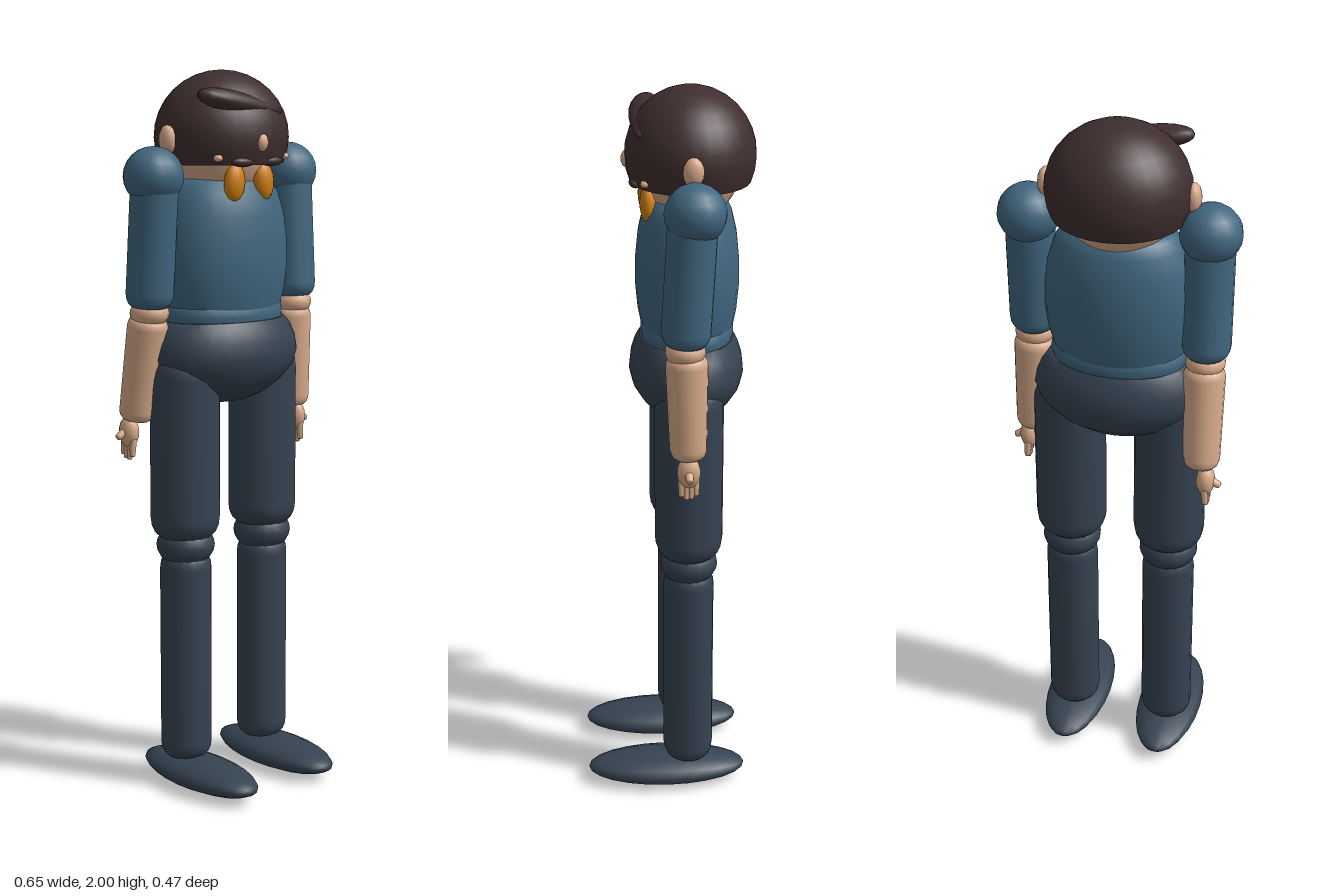
import * as THREE from 'three';
import { toCreasedNormals } from 'three/addons/utils/BufferGeometryUtils.js';

const material = (name, color) => {
  const m = new THREE.MeshStandardMaterial({ color });
  m.name = name;
  return m;
};

export function createModel() {
  const group = new THREE.Group();
  const shirt = material('blue shirt', 0x41677f);
  const trousers = material('dark slate', 0x364352);
  const hair = material('dark brown hair', 0x3f2e2f);
  const skin = material('skin', 0xd8ab8b);
  const orange = material('orange', 0xd0800f);

  const add = (name, geometry, mat, parent = group) => {
    const mesh = new THREE.Mesh(geometry, mat);
    mesh.name = name;
    parent.add(mesh);
    return mesh;
  };

  // Ellipsoid by centre and radii
  const ball = (name, mat, pos, radii, parent = group, w = 18, h = 12) => {
    const mesh = add(name, new THREE.SphereGeometry(1, w, h), mat, parent);
    mesh.position.set(...pos);
    mesh.scale.set(...radii);
    return mesh;
  };

  // Turned body with an oval plan, profile given from bottom to top
  const turned = (name, mat, profile, depth, z) => {
    const pts = profile.map(([r, y]) => new THREE.Vector2(r, y));
    const g = new THREE.LatheGeometry(pts, 28);
    g.scale(1, 1, depth);
    const mesh = add(name, toCreasedNormals(g, 0.9), mat);
    mesh.position.z = z;
    return mesh;
  };

  // Round-ended limb segment between two points
  const limb = (name, mat, from, to, r0, r1, round, parent = group) => {
    const a = new THREE.Vector3(...from), b = new THREE.Vector3(...to);
    const dir = b.clone().sub(a), length = dir.length();
    const pts = [];
    for (let i = 0; i <= 4; i++) {
      const t = i / 4 * Math.PI / 2;
      pts.push(new THREE.Vector2(r0 * (0.6 * (i > 0) + (i > 0 ? 0.4 : 0) * Math.sin(t)), round * (1 - Math.cos(t))));
    }
    for (let i = 4; i >= 0; i--) {
      const t = i / 4 * Math.PI / 2;
      pts.push(new THREE.Vector2(r1 * (i > 0 ? 0.6 + 0.4 * Math.sin(t) : 0), length - round * (1 - Math.cos(t))));
    }
    const mesh = add(name, new THREE.LatheGeometry(pts, 18), mat, parent);
    mesh.position.copy(a);
    mesh.quaternion.setFromUnitVectors(new THREE.Vector3(0, 1, 0), dir.normalize());
    return mesh;
  };

  // Torso, waistband and hips
  turned('torso', shirt, [[0, 1.34], [0.178, 1.35], [0.192, 1.4], [0.201, 1.47], [0.2, 1.54],
    [0.19, 1.61], [0.17, 1.67], [0.148, 1.7], [0.12, 1.712], [0, 1.715]], 0.7, -0.052);
  turned('waist', shirt, [[0, 1.3], [0.18, 1.31], [0.187, 1.335], [0.184, 1.36], [0.172, 1.372], [0, 1.372]], 0.68, -0.052);
  turned('hips', trousers, [[0, 1.085], [0.07, 1.092], [0.13, 1.112], [0.185, 1.145], [0.222, 1.185], [0.236, 1.225],
    [0.229, 1.265], [0.212, 1.3], [0.192, 1.322], [0, 1.324]], 0.665, -0.05);

  // Head and hair cap, closed underneath
  ball('head', skin, [0, 1.8, -0.06], [0.155, 0.16, 0.137], group, 24, 16);
  const cap = [[0, 1.748]];
  for (let i = 0; i <= 10; i++) {
    const t = -0.41 + (Math.PI / 2 + 0.41) * i / 10;
    cap.push([0.192 * Math.cos(t), 1.82 + 0.18 * Math.sin(t)]);
  }
  turned('hairCap', hair, cap, 0.915, -0.06);

  // Swept lock: an ellipsoid tapering towards the model's left
  const lockGeometry = new THREE.SphereGeometry(1, 20, 12);
  const p = lockGeometry.attributes.position;
  for (let i = 0; i < p.count; i++) {
    const taper = 0.72 - 0.28 * p.getX(i);
    p.setXYZ(i, p.getX(i) * 0.14, p.getY(i) * taper * 0.038, p.getZ(i) * taper * 0.055);
  }
  lockGeometry.computeVertexNormals();
  const lock = add('frontLock', lockGeometry, hair);
  lock.position.set(-0.035, 1.912, 0.062);
  lock.rotation.set(0.1, -0.12, -0.17);

  // Face details and collar bow
  ball('nose', skin, [0, 1.808, 0.105], [0.02, 0.026, 0.02], group, 12, 8);
  for (const s of [-1, 1]) {
    const side = s > 0 ? 'left' : 'right';
    ball(side + 'Ear', skin, [s * 0.194, 1.815, -0.055], [0.021, 0.04, 0.028], group, 12, 8);
    ball(side + 'Cheek', skin, [s * 0.118, 1.768, 0.066], [0.013, 0.01, 0.013], group, 10, 8);
    ball(side + 'Fringe', hair, [s * 0.05, 1.757, 0.088], [0.04, 0.014, 0.018], group, 12, 8);
    const bow = ball(side + 'Bow', orange, [s * 0.052, 1.7, 0.056], [0.033, 0.052, 0.022], group, 14, 10);
    bow.rotation.z = s * 0.08;
  }

  // Legs
  for (const s of [-1, 1]) {
    const leg = new THREE.Group();
    leg.name = s > 0 ? 'leftLeg' : 'rightLeg';
    leg.position.set(s * 0.142, 0, -0.05);
    group.add(leg);
    limb('thigh', trousers, [0, 0.717, 0], [0, 1.23, 0], 0.1, 0.1, 0.06, leg).scale.z = 0.94;
    ball('knee', trousers, [0, 0.695, 0], [0.083, 0.062, 0.08], leg);
    limb('shin', trousers, [0, 0.078, 0], [0, 0.675, 0], 0.074, 0.074, 0.045, leg).scale.z = 0.95;
    const footGeometry = new THREE.SphereGeometry(1, 12, 12).rotateX(Math.PI / 2);
    const foot = add('foot', footGeometry, trousers, leg);
    foot.position.set(0, 0.043, 0.062);
    foot.scale.set(0.094, 0.043, 0.225);
  }

  // Arms: the right one swings back
  for (const s of [-1, 1]) {
    const arm = new THREE.Group();
    arm.name = s > 0 ? 'leftArm' : 'rightArm';
    group.add(arm);
    const [elbowZ, wristZ, handZ] = s > 0 ? [-0.032, -0.041, -0.041] : [-0.08, -0.135, -0.148];
    ball('shoulder', shirt, [s * 0.241, 1.72, -0.057], [0.083, 0.08, 0.082], arm, 16, 12);
    limb('upperArm', shirt, [s * 0.241, 1.365, elbowZ], [s * 0.24, 1.72, -0.052], 0.066, 0.066, 0.04, arm);
    ball('elbow', skin, [s * 0.24, 1.35, elbowZ], [0.054, 0.04, 0.054], arm);
    limb('forearm', skin, [s * 0.247, 1.05, wristZ], [s * 0.239, 1.34, elbowZ - 0.004], 0.05, 0.057, 0.03, arm);

    // Hand with tapered fingers and an outward thumb
    ball('palm', skin, [s * 0.262, 1.016, handZ], [0.026, 0.045, 0.032], arm, 14, 10);
    for (let i = 0; i < 4; i++) {
      const z = handZ + (i - 1.5) * 0.013;
      const tip = 0.935 + Math.abs(i - 1.6) * 0.009;
      limb('finger', skin, [s * 0.266, tip, z], [s * 0.262, 1.0, z], 0.008, 0.01, 0.008, arm);
    }
    limb('thumb', skin, [s * 0.27, 1.02, handZ], [s * 0.303, 1.003, handZ], 0.013, 0.01, 0.008, arm);
  }
  return group;
}
